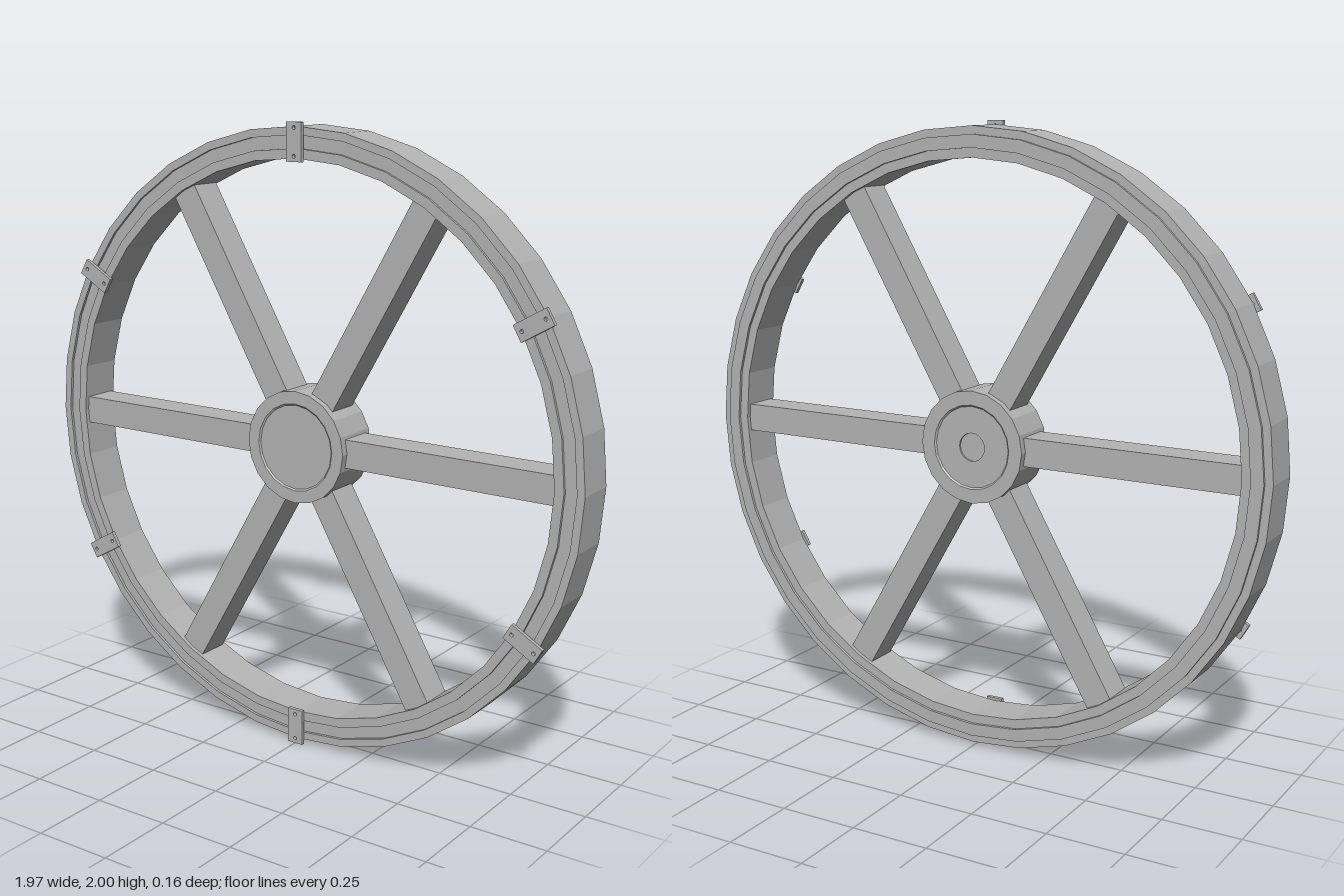
import * as THREE from 'three';

const RIM_SIDES = 36, HUB_SIDES = 20, SPOKES = 6;

// Turn a (radius, z) profile about the z axis
function turned(profile, sides, material, name) {
  const points = profile.map(([r, z]) => new THREE.Vector2(r, z));
  const geometry = new THREE.LatheGeometry(points, sides).rotateX(Math.PI / 2).toNonIndexed();
  geometry.computeVertexNormals();
  const mesh = new THREE.Mesh(geometry, material);
  mesh.name = name;
  return mesh;
}

// Flat retaining clip with two screw holes, lying along x
function clipGeometry() {
  const length = 0.118, width = 0.055;
  const shape = new THREE.Shape([
    new THREE.Vector2(-length / 2, -width / 2),
    new THREE.Vector2(length / 2, -width / 2),
    new THREE.Vector2(length / 2, width / 2),
    new THREE.Vector2(-length / 2, width / 2),
  ]);
  for (const x of [-0.042, 0.042]) {
    const hole = new THREE.Path();
    hole.absarc(x, 0, 0.006, 0, Math.PI * 2, true);
    shape.holes.push(hole);
  }
  return new THREE.ExtrudeGeometry(shape, { depth: 0.013, bevelEnabled: false, curveSegments: 6 });
}

export function createModel() {
  const grey = new THREE.MeshStandardMaterial({ color: 0xb4b4b4 });
  grey.name = 'grey';
  grey.flatShading = true;

  const wheel = new THREE.Group();
  wheel.name = 'wheel';
  wheel.position.y = 1;

  // Rim: grooved front, raised band at the back
  wheel.add(turned([
    [0.985, -0.069], [0.985, 0.069], [0.96, 0.069], [0.96, 0.06],
    [0.92, 0.06], [0.92, 0.069], [0.89, 0.069], [0.89, -0.069],
    [0.92, -0.069], [0.92, -0.078], [0.96, -0.078], [0.96, -0.069], [0.985, -0.069],
  ], RIM_SIDES, grey, 'rim'));

  // Hub: shallow dish in front, ring step and bore at the back
  wheel.add(turned([
    [0, -0.068], [0.045, -0.068], [0.045, -0.074], [0.13, -0.074], [0.135, -0.079], [0.18, -0.079],
    [0.18, 0.079], [0.14, 0.079], [0.135, 0.075], [0, 0.075],
  ], HUB_SIDES, grey, 'hub'));

  // Spokes and the clips halfway between them
  const spokeGeometry = new THREE.BoxGeometry(0.75, 0.09, 0.11).translate(0.525, 0, 0);
  const clip = clipGeometry().translate(0.939, 0, 0.068);
  for (let i = 0; i < SPOKES; i++) {
    const angle = (i * Math.PI * 2) / SPOKES;
    const spoke = new THREE.Mesh(spokeGeometry, grey);
    spoke.name = 'spoke';
    spoke.rotation.z = angle;
    const rimClip = new THREE.Mesh(clip, grey);
    rimClip.name = 'rimClip';
    rimClip.rotation.z = angle + Math.PI / SPOKES;
    wheel.add(spoke, rimClip);
  }

  const model = new THREE.Group();
  model.name = 'spokedWheel';
  model.add(wheel);
  return model;
}
